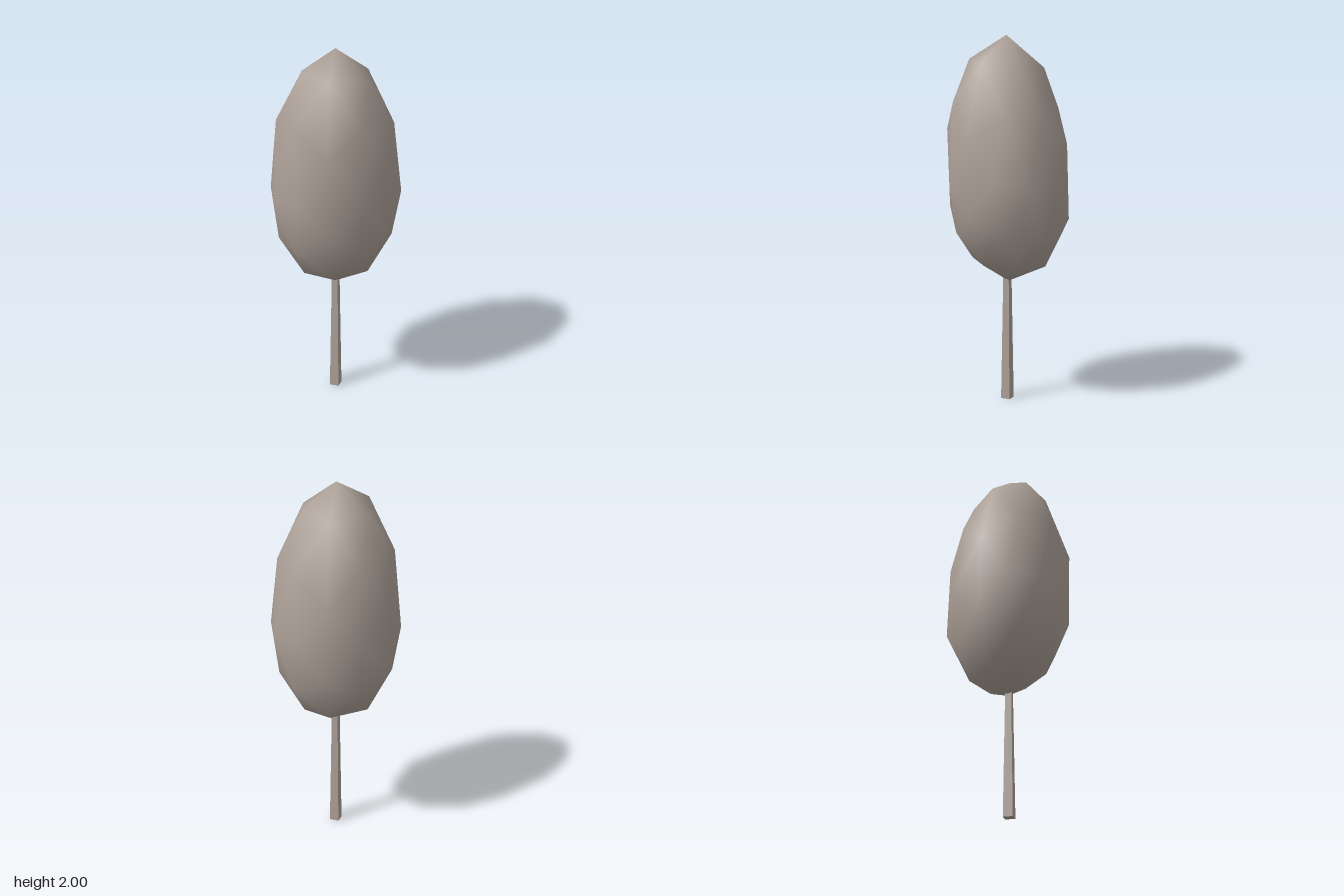
import * as THREE from 'three';
import { mergeVertices } from 'three/addons/utils/BufferGeometryUtils.js';

const CENTER_Y = 1.22;

// Egg-shaped crown: a subdivided icosahedron, taller above its widest ring than below
function crownGeometry() {
  let geo = new THREE.IcosahedronGeometry(1, 1);
  geo.deleteAttribute('uv');
  geo.deleteAttribute('normal');
  geo = mergeVertices(geo, 1e-3);
  const pos = geo.attributes.position;
  const v = new THREE.Vector3();
  for (let i = 0; i < pos.count; i++) {
    v.fromBufferAttribute(pos, i);
    const up = v.y > 0.01;
    const ring = Math.abs(v.y) < 0.01;
    const x = v.x * 0.358 - (up ? 0.009 : ring ? 0 : 0.003);
    const z = v.z * (ring ? 0.331 : 0.348) + (up ? 0.014 : ring ? 0 : 0.003);
    // slight lean of the upper and lower rings
    const tilt = ring ? 0 : v.z * 0.025 - v.x * (up ? 0.03 : 0.01);
    const y = CENTER_Y + v.y * (up ? 0.78 : 0.553) + tilt;
    pos.setXYZ(i, x, y, z);
  }
  geo.computeVertexNormals();
  return geo;
}

export function createModel() {
  const group = new THREE.Group();
  group.name = 'tree';
  const greyBrown = new THREE.MeshStandardMaterial({ color: 0xada198 });
  greyBrown.name = 'greyBrown';

  const crown = new THREE.Mesh(crownGeometry(), greyBrown);
  crown.name = 'crown';

  // Four-sided tapering trunk with its corners on the axes
  const height = 0.69;
  const trunkGeo = new THREE.CylinderGeometry(0.024, 0.037, height, 4).toNonIndexed();
  trunkGeo.computeVertexNormals();
  const trunk = new THREE.Mesh(trunkGeo, greyBrown);
  trunk.name = 'trunk';
  trunk.position.set(-0.005, height / 2, 0.01);

  group.add(crown, trunk);
  return group;
}
